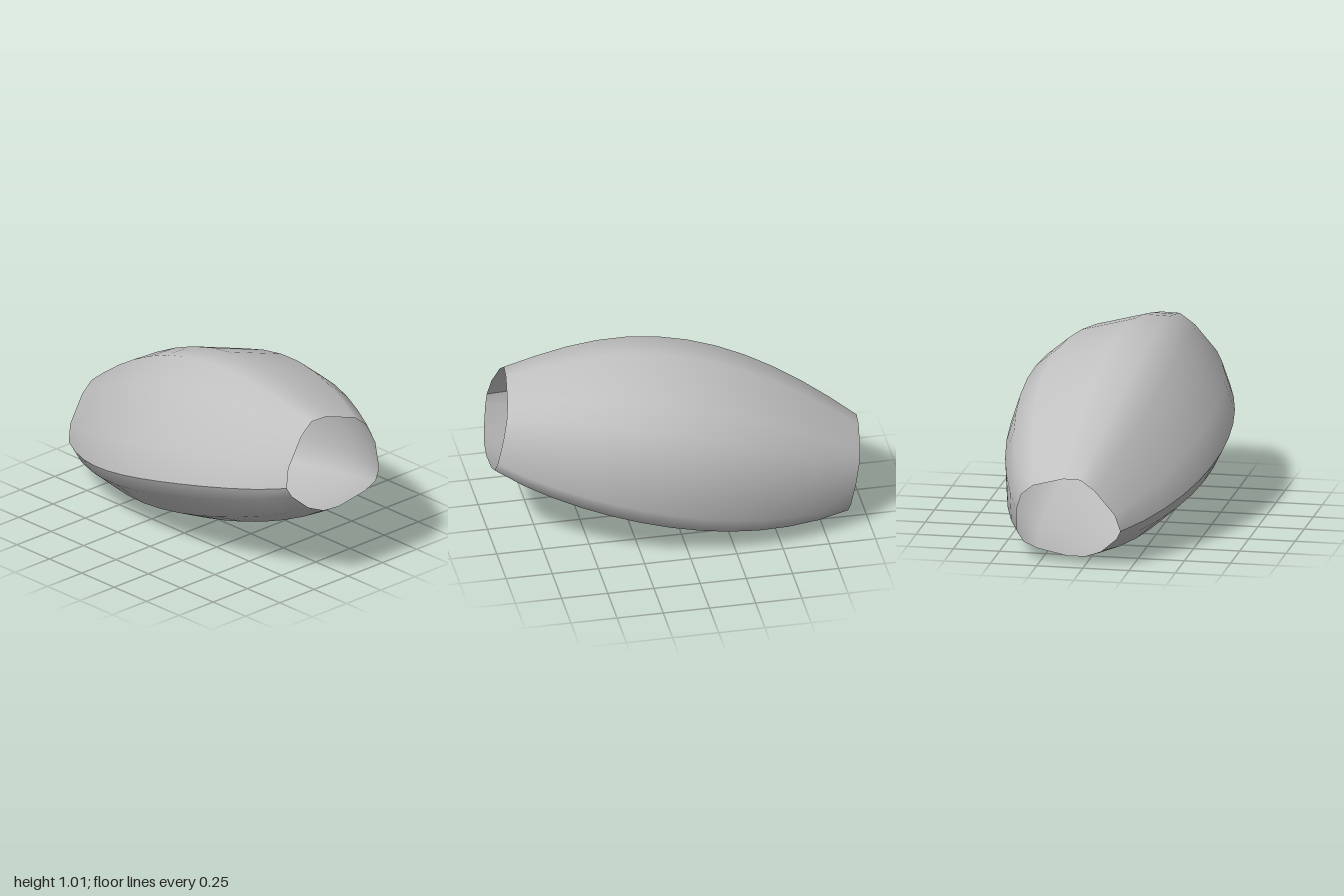
import * as THREE from 'three';

// Pentagonal cross-section with softened corners, relative to its centre
const section = [
  [-0.306, -0.064], [-0.276, 0.036],                    // left corner
  [-0.161, 0.181], [-0.081, 0.241], [0.019, 0.241],     // top corner
  [0.204, 0.186], [0.274, 0.126], [0.309, 0.026],       // upper right corner
  [0.309, -0.114], [0.274, -0.174], [0.194, -0.209],    // lower right corner
  [0.014, -0.244], [-0.091, -0.239], [-0.186, -0.199],  // bottom corner
  [-0.281, -0.114],                                     // left corner again
];

export function createModel() {
  const grey = new THREE.MeshStandardMaterial({ color: 0xc0c0c0, side: THREE.DoubleSide });
  grey.name = 'grey';

  const rings = 12;
  const cols = section.length + 1; // first column repeats so the seam stays sharp
  const positions = [];
  const indices = [];

  // Sweep the section along a tilted axis, swelling toward the middle
  for (let j = 0; j <= rings; j++) {
    const u = 1 - (2 * j) / rings; // 1 at the front rim, -1 at the back rim
    const bulge = 1 - u * u;
    const scale = 0.9625 + 0.0375 * u + 0.855 * bulge;
    const cx = 0.008 - 0.082 * u - 0.01 * bulge;
    const cy = 0.46 + 0.205 * u + 0.06 * Math.pow(bulge, 1.5) * (1 + 0.4 * u);
    const cz = 0.94 * u;
    for (let i = 0; i < cols; i++) {
      const [px, py] = section[i % section.length];
      const dx = px * scale, dy = py * scale;
      // each ring lies square to the tilted axis
      positions.push(cx + dx, cy + dy, cz + 0.087 * dx - 0.218 * dy);
      if (j < rings && i < cols - 1) {
        const a = j * cols + i, b = a + cols;
        indices.push(a, a + 1, b, a + 1, b + 1, b);
      }
    }
  }

  const geometry = new THREE.BufferGeometry();
  geometry.setAttribute('position', new THREE.Float32BufferAttribute(positions, 3));
  geometry.setIndex(indices);
  geometry.computeVertexNormals();

  const shell = new THREE.Mesh(geometry, grey);
  shell.name = 'openBarrelShell';
  const group = new THREE.Group();
  group.name = 'barrel';
  group.add(shell);
  return group;
}
